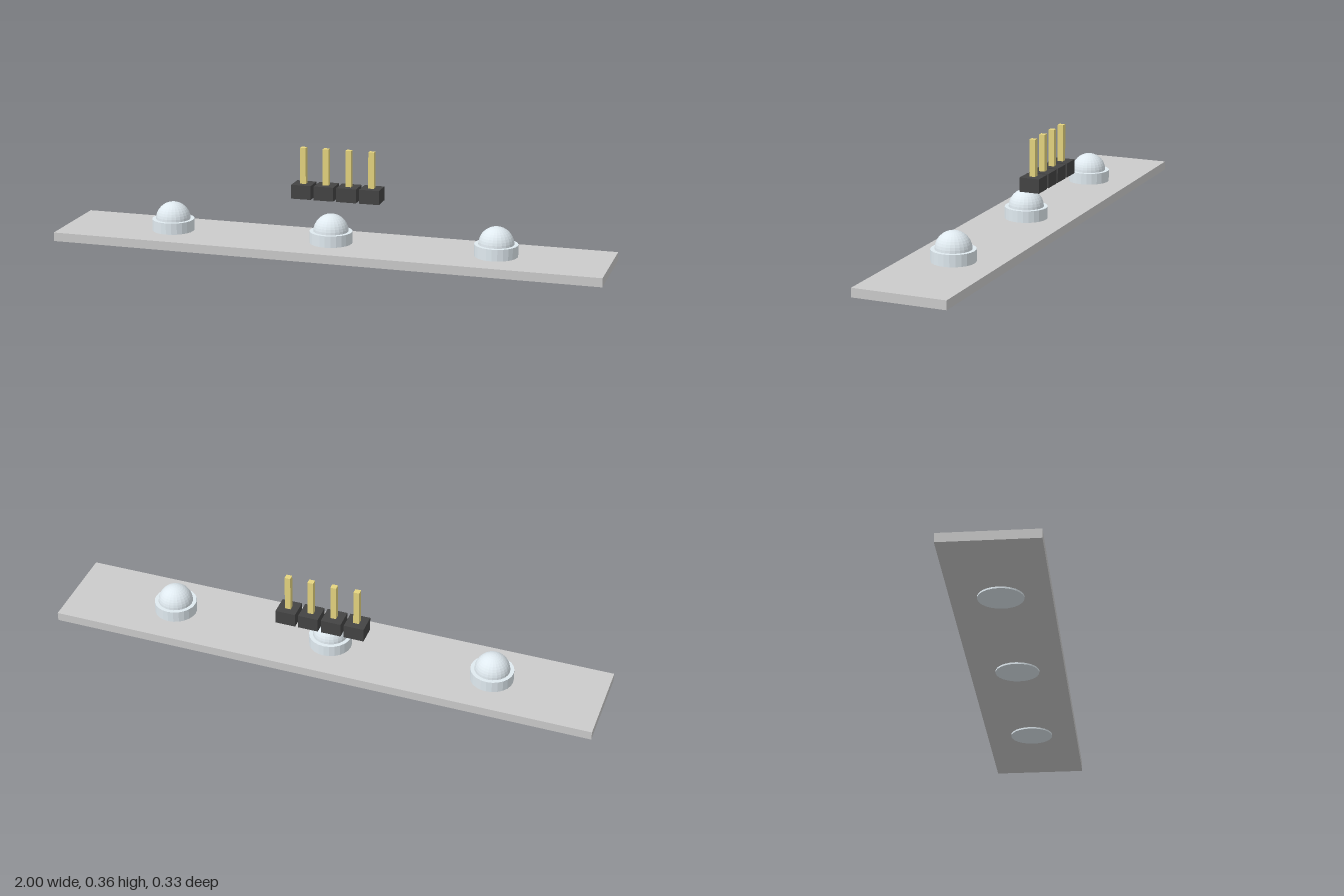
import * as THREE from 'three';

const material = (color, flatShading = false) => new THREE.MeshStandardMaterial({ color, flatShading });

function addPart(parent, name, geometry, mat, x, y, z) {
  const mesh = new THREE.Mesh(geometry, mat);
  mesh.name = name;
  mesh.position.set(x, y, z);
  parent.add(mesh);
  return mesh;
}

export function createModel() {
  const model = new THREE.Group();
  model.name = 'ledStrip';

  const boardMat = material(0xcccccc);
  const lampMat = material(0xe0eaf0, true);
  const plasticMat = material(0x444444);
  const goldMat = material(0xe6d580);

  // Flat circuit board
  addPart(model, 'board', new THREE.BoxGeometry(2, 0.032, 0.334), boardMat, 0, 0.022, 0);

  // Three lamps passing through the board, each a collar with a dome
  const collar = new THREE.CylinderGeometry(0.077, 0.077, 0.08, 24);
  const dome = new THREE.SphereGeometry(0.063, 24, 10, 0, Math.PI * 2, 0, Math.PI / 2);
  for (const x of [-0.6, 0, 0.6]) {
    const lamp = new THREE.Group();
    lamp.name = 'lamp';
    lamp.position.x = x;
    addPart(lamp, 'lampCollar', collar, lampMat, 0, 0.04, 0);
    addPart(lamp, 'lampDome', dome, lampMat, 0, 0.079, 0);
    model.add(lamp);
  }

  // Four-pin header floating above the rear half of the board
  const block = new THREE.BoxGeometry(0.073, 0.051, 0.073);
  const pin = new THREE.BoxGeometry(0.021, 0.158, 0.021);
  const header = new THREE.Group();
  header.name = 'pinHeader';
  header.position.z = -0.082;
  for (let i = 0; i < 4; i++) {
    const x = (i - 1.5) * 0.0845;
    addPart(header, 'headerBlock', block, plasticMat, x, 0.2005, 0);
    addPart(header, 'headerPin', pin, goldMat, x, 0.279, 0);
  }
  model.add(header);

  return model;
}
